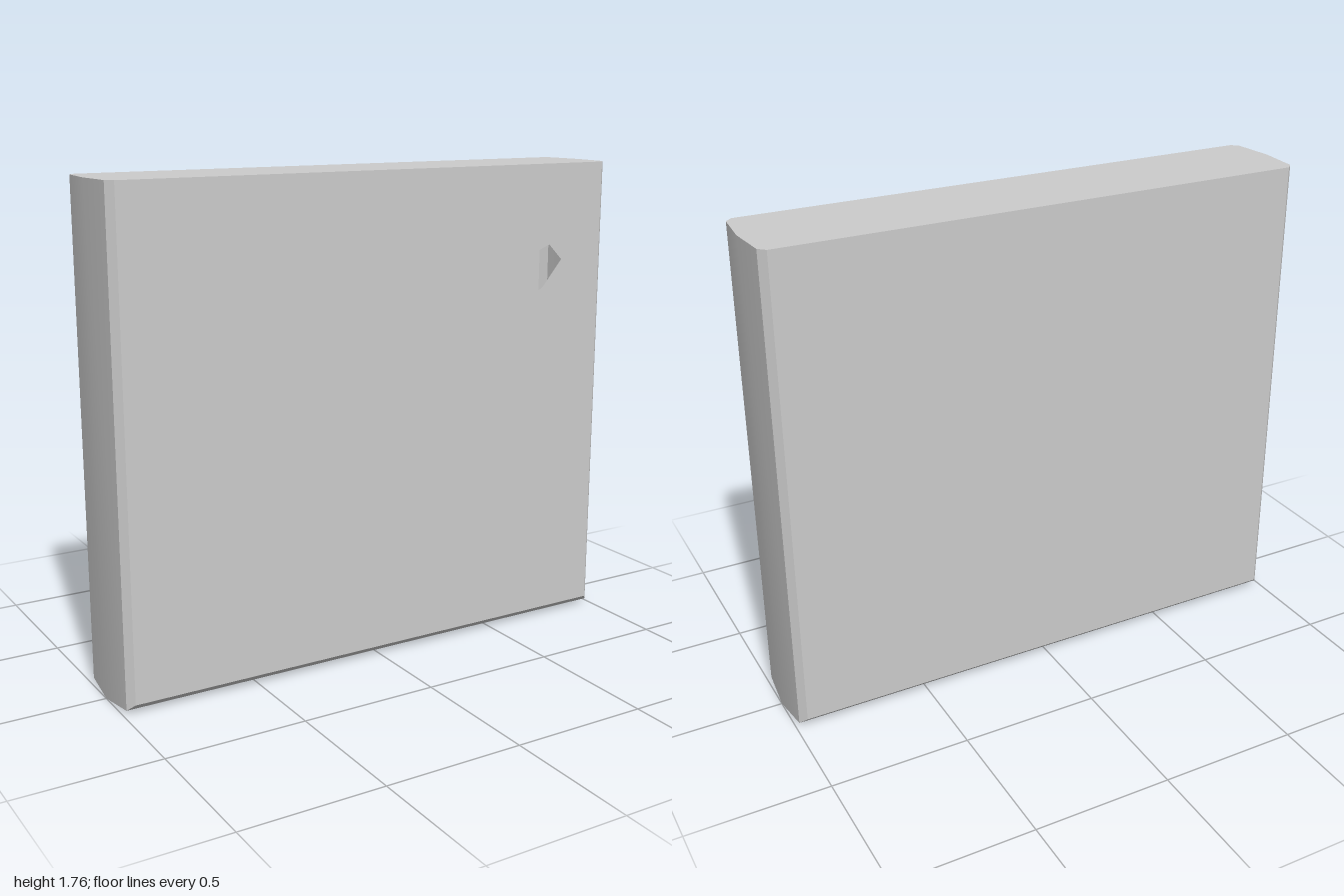
import * as THREE from 'three';
import { toCreasedNormals } from 'three/addons/utils/BufferGeometryUtils.js';

const TOP = 1.76;
// Rim cross-section from front to back: [z, half width, bottom height]
const LEVELS = [
  [0.176, 0.963, 0.037],
  [0.152, 0.987, 0.014],
  [0, 1, 0],
  [-0.152, 0.987, 0.014],
  [-0.176, 0.963, 0.037],
];

// Four corners of the panel outline, counterclockwise from the front
const corners = (w, y) => [[-w, y], [w, y], [w, TOP], [-w, TOP]];

// Shallow bowed walls with chamfered edges, swept through the levels
function rimGeometry() {
  const positions = [];
  for (let i = 0; i < LEVELS.length - 1; i++) {
    const [front, back] = [LEVELS[i], LEVELS[i + 1]].map(
      ([z, w, y]) => corners(w, y).map(([px, py]) => [px, py, z]));
    for (let j = 0; j < 4; j++) {
      const k = (j + 1) % 4;
      positions.push(...front[j], ...back[j], ...front[k], ...front[k], ...back[j], ...back[k]);
    }
  }
  const geometry = new THREE.BufferGeometry();
  geometry.setAttribute('position', new THREE.Float32BufferAttribute(positions, 3));
  return toCreasedNormals(geometry, 0.45);
}

const panelShape = () => new THREE.Shape(
  corners(LEVELS[0][1], LEVELS[0][2]).map(([x, y]) => new THREE.Vector2(x, y)));

// Smile-shaped opening, mirrored about x = 0
function openingPath() {
  const half = [
    [0, 1.105], [0.28, 1.135], [0.535, 1.205], [0.70, 1.31], [0.783, 1.407],
    [0.725, 1.465], [0.585, 1.41], [0.31, 1.378], [0, 1.37],
  ];
  const mirrored = half.slice(1, -1).reverse().map(([x, y]) => [-x, y]);
  return new THREE.Path([...half, ...mirrored].map(([x, y]) => new THREE.Vector2(x, y)));
}

export function createModel() {
  const group = new THREE.Group();
  group.name = 'hollowPanel';
  const material = new THREE.MeshStandardMaterial({ color: 0xcccccc, side: THREE.DoubleSide });
  const add = (name, geometry) => {
    const mesh = new THREE.Mesh(geometry, material);
    mesh.name = name;
    group.add(mesh);
    return mesh;
  };

  add('rim', rimGeometry());

  // Front skin with the opening into the hollow inside
  const frontShape = panelShape();
  frontShape.holes.push(openingPath());
  add('frontPanel', new THREE.ShapeGeometry(frontShape)).position.z = LEVELS[0][0];

  // Plain back skin, turned to face backwards
  const back = add('backPanel', new THREE.ShapeGeometry(panelShape()));
  back.rotation.y = Math.PI;
  back.position.z = LEVELS[4][0];

  return group;
}
